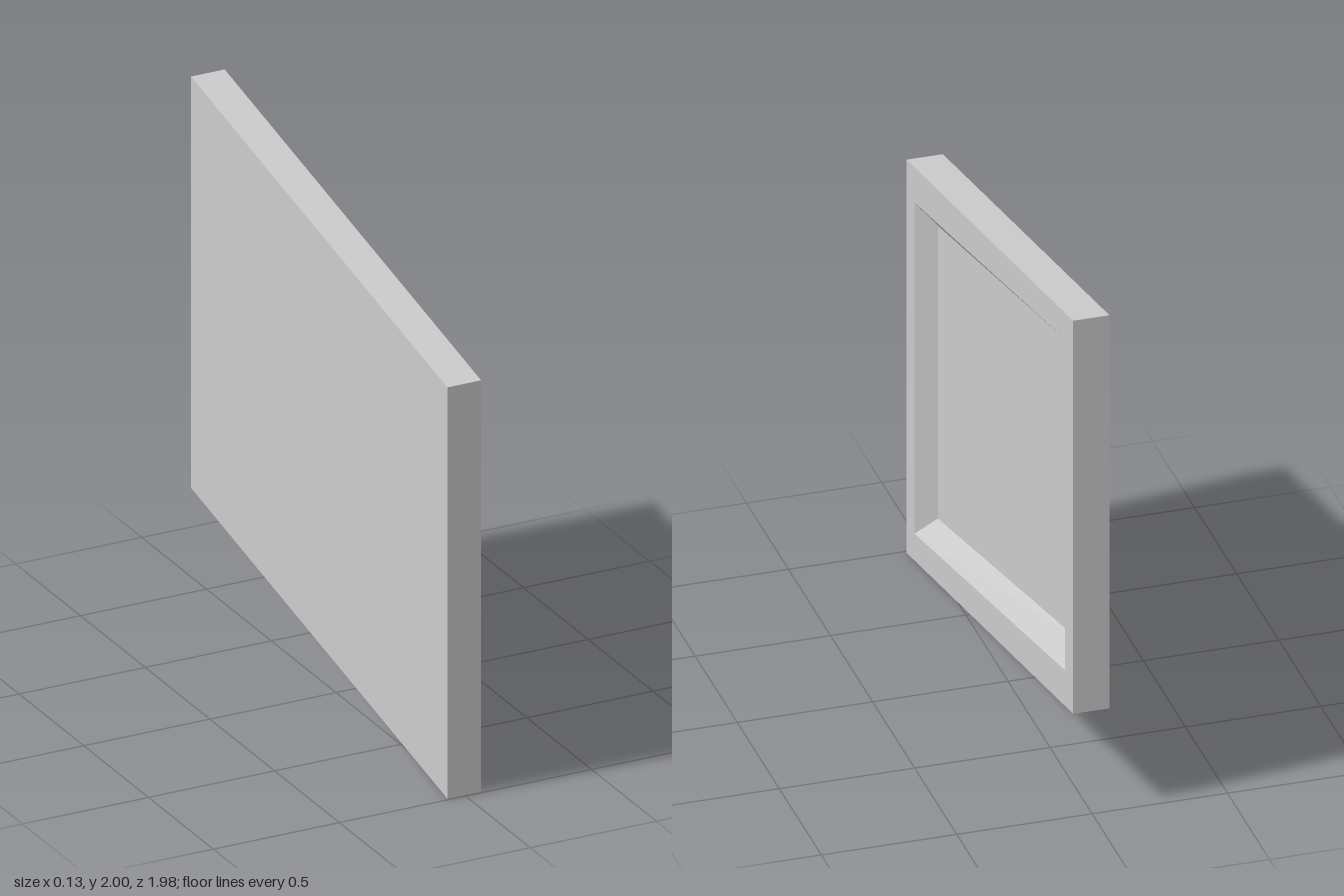
import * as THREE from 'three';

// Slanted four-corner loop at depth x: front edge (zF, low..high), back edge (zB, low..high)
const loop = (x, zF, frontLow, frontHigh, zB, backLow, backHigh) => [
  [x, frontLow, zF], [x, backLow, zB], [x, backHigh, zB], [x, frontHigh, zF],
].map((p) => new THREE.Vector3(...p));

// Flat-shaded geometry from a list of quads
function quads(list) {
  const points = list.flatMap(([a, b, c, d]) => [a, b, c, a, c, d]);
  const geometry = new THREE.BufferGeometry().setFromPoints(points);
  geometry.computeVertexNormals();
  return geometry;
}

// Band of four quads joining two loops
const band = (a, b) => a.map((p, i) => {
  const j = (i + 1) % 4;
  return [p, a[j], b[j], b[i]];
});

export function createModel() {
  const group = new THREE.Group();
  group.name = 'slantedPanel';
  const grey = new THREE.MeshStandardMaterial({ color: 0xcccccc });
  grey.name = 'light grey';

  const half = 0.067;
  const back = loop(-half, 0.99, 0, 1.59, -0.99, 0.41, 2);
  const face = loop(half, 0.99, 0, 1.59, -0.99, 0.41, 2);
  const rim = loop(half, 0.896, 0.128, 1.467, -0.896, 0.535, 1.875);
  const floor = loop(-0.004, 0.846, 0.204, 1.388, -0.846, 0.615, 1.8);

  const add = (name, list) => {
    const mesh = new THREE.Mesh(quads(list), grey);
    mesh.name = name;
    group.add(mesh);
  };

  add('outerEdges', band(back, face));
  add('frameFace', band(face, rim));
  add('recessBevel', band(rim, floor));
  add('recessedPanel', [floor]);
  add('backPanel', [[...back].reverse()]);
  return group;
}
